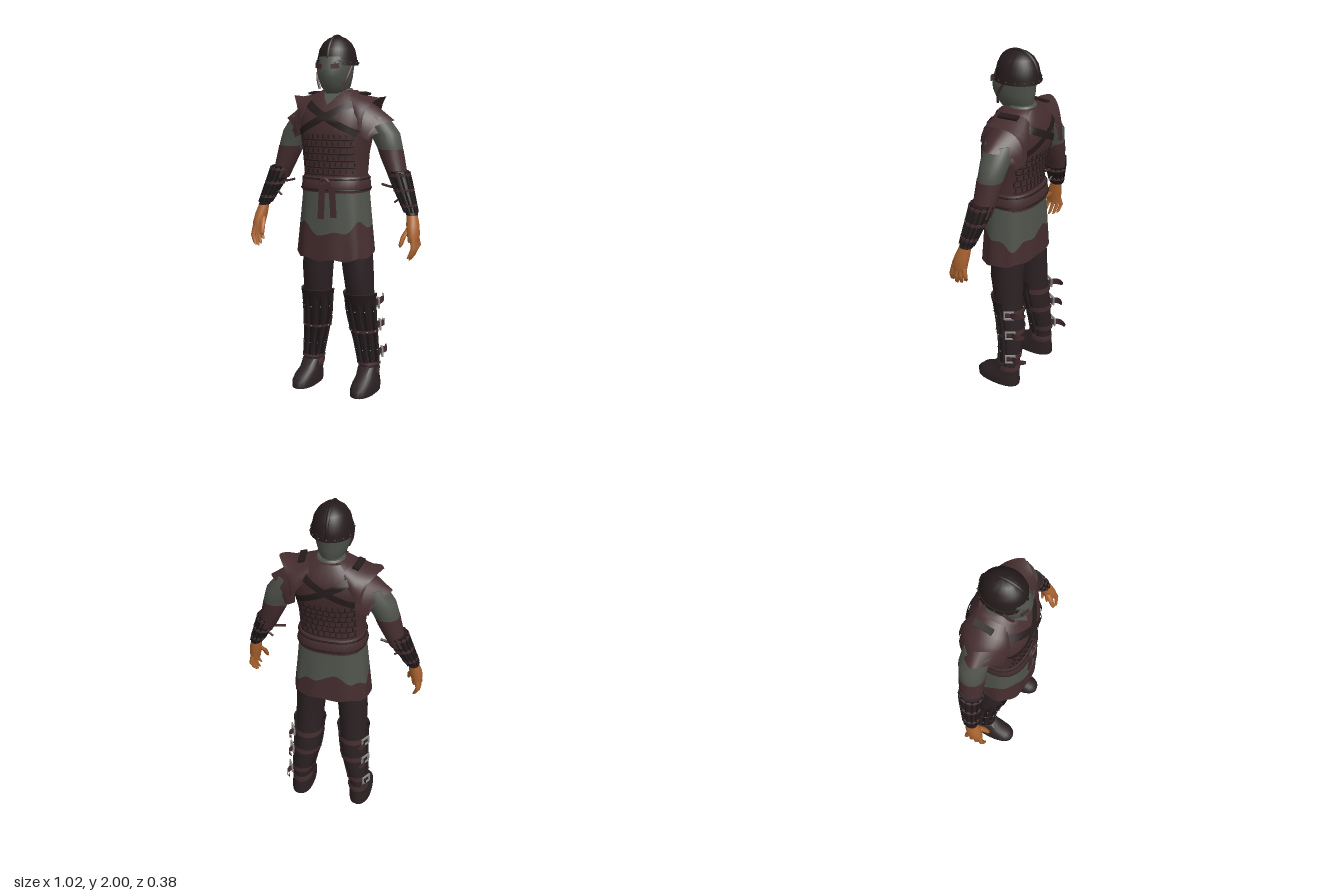
import * as THREE from 'three';
import { mergeGeometries, toCreasedNormals } from 'three/addons/utils/BufferGeometryUtils.js';

const paint = (name, color) => new THREE.MeshStandardMaterial({ name, color, side: THREE.DoubleSide });
const M = {
  leather: paint('red brown leather', 0x452d2f),
  trousers: paint('dark trousers', 0x2b2123),
  dark: paint('blackened leather', 0x251b1c),
  black: paint('near black lacing', 0x1b1718),
  cloth: paint('grey cloth', 0x50534c),
  skin: paint('skin', 0xac6430),
  metal: paint('buckle metal', 0x8c8c8e),
};
const V = (x, y, z) => new THREE.Vector3(x, y, z);
const spow = (v, p) => Math.sign(v) * Math.abs(v) ** p;

// Grid surface from f(i, j); closed joins the last column to the first
function grid(rows, cols, f, closed = false, caps = false) {
  const pos = [], idx = [], w = closed ? cols : cols + 1;
  for (let i = 0; i <= rows; i++) for (let j = 0; j < w; j++) pos.push(...f(i, j));
  for (let i = 0; i < rows; i++) for (let j = 0; j < cols; j++) {
    const a = i * w + j, b = i * w + (j + 1) % w;
    idx.push(a, b, b + w, a, b + w, a + w);
  }
  if (caps) for (const [row, flip] of [[0, true], [rows, false]]) {
    const c = pos.length / 3, mid = [0, 0, 0];
    for (let j = 0; j < w; j++) for (let k = 0; k < 3; k++) mid[k] += pos[(row * w + j) * 3 + k] / w;
    pos.push(...mid);
    for (let j = 0; j < w; j++) {
      const a = row * w + j, b = row * w + (j + 1) % w;
      idx.push(c, flip ? b : a, flip ? a : b);
    }
  }
  const g = new THREE.BufferGeometry();
  g.setAttribute('position', new THREE.Float32BufferAttribute(pos, 3));
  g.setIndex(idx);
  g.computeVertexNormals();
  return g;
}
// Closed body through horizontal rings [x, y, z, rx, rz], listed upwards
const loft = (rings, n = 24, p = 1) => toCreasedNormals(grid(rings.length - 1, n, (i, j) => {
  const [x, y, z, rx, rz] = rings[i], a = j / n * Math.PI * 2;
  return [x + rx * spow(Math.sin(a), p), y, z + rz * spow(Math.cos(a), p)];
}, true, true), 0.9);
// Ring values interpolated at height y
function ringAt(rings, y) {
  let i = 0;
  while (i < rings.length - 2 && y > rings[i + 1][1]) i++;
  const t = THREE.MathUtils.clamp((y - rings[i][1]) / (rings[i + 1][1] - rings[i][1]), 0, 1);
  return rings[i].map((v, k) => THREE.MathUtils.lerp(v, rings[i + 1][k], t));
}
const tube = (pts, r, seg = 10, n = 6) =>
  new THREE.TubeGeometry(new THREE.CatmullRomCurve3(pts), seg, r, n, false);
const around = (rings, y, a, off) => {
  const [x, , z, rx, rz] = ringAt(rings, y);
  return V(x + (rx + off) * Math.sin(a), y, z + (rz + off) * Math.cos(a));
};
const box = (w, h, d, x, y, z, ry = 0, rz = 0) =>
  new THREE.BoxGeometry(w, h, d).rotateZ(rz).rotateY(ry).translate(x, y, z);

const TORSO = [[0, 1.14, .02, .185, .145], [0, 1.25, .025, .178, .13], [0, 1.36, .025, .185, .145],
  [0, 1.46, .015, .2, .163], [0, 1.54, .008, .205, .168], [0, 1.6, -.005, .195, .152],
  [0, 1.66, -.015, .145, .118], [0, 1.7, -.025, .095, .085]];
const TP = .8;
// Depth of the torso surface, front (side 1) or back (side -1)
function torsoZ(x, y, side, off) {
  const [, , z, rx, rz] = ringAt(TORSO, y);
  const s = Math.min(.98, Math.abs(x) / rx) ** (1 / TP);
  return z + side * (rz * Math.sqrt(1 - s * s) ** TP + off);
}
// Flat strap lying on the torso between two points
function band(x0, y0, x1, y1, w0, w1, side, off) {
  const l = Math.hypot(x1 - x0, y1 - y0), nx = -(y1 - y0) / l, ny = (x1 - x0) / l;
  return grid(16, 4, (i, j) => {
    const t = i / 16, k = (j / 4 - .5) * (w0 + (w1 - w0) * t);
    const x = x0 + (x1 - x0) * t + nx * k, y = y0 + (y1 - y0) * t + ny * k;
    return [x, y, torsoZ(x, y, side, off)];
  });
}

export function createModel() {
  const root = new THREE.Group();
  root.name = 'armouredFigure';
  // One mesh per part; pieces are reduced to positions and normals so they merge
  const add = (name, mat, ...geos) => {
    const flat = geos.map(g => (g.index ? g.toNonIndexed() : g).deleteAttribute('uv'));
    const m = new THREE.Mesh(mergeGeometries(flat), mat);
    m.name = name;
    root.add(m);
  };

  // Head and helmet
  add('maskedHead', M.cloth, loft([[0, 1.6, -.03, .075, .075], [0, 1.68, -.02, .068, .068],
    [0, 1.685, .02, .05, .088], [0, 1.72, .027, .073, .108], [0, 1.77, .034, .088, .122],
    [0, 1.82, .034, .096, .124], [0, 1.88, .015, .097, .12]], 28));
  const HELM = [[0, 1.835, .01, .108, .126], [0, 1.87, .01, .105, .124], [0, 1.92, .01, .094, .112],
    [0, 1.955, .009, .074, .09], [0, 1.98, .008, .044, .058], [0, 1.99, .007, .012, .018]];
  add('helmet', M.dark, loft(HELM, 32));
  add('helmetBrim', M.dark, loft([[0, 1.834, .01, .114, .131], [0, 1.862, .01, .11, .128]], 32));
  const crest = [];
  for (let i = 0; i <= 14; i++) {
    const a = i / 14 * Math.PI;
    crest.push(V(0, 1.845 + .146 * Math.sin(a) ** .8, .009 + .122 * Math.cos(a)));
  }
  add('helmetCrest', M.dark, tube(crest, .009, 28));
  const rivets = [];
  for (let i = 0; i < 16; i++) {
    const p = around(HELM, 1.847, i / 16 * Math.PI * 2, .006);
    rivets.push(new THREE.SphereGeometry(.005, 6, 4).translate(p.x, p.y, p.z));
  }
  add('helmetRivets', M.leather, ...rivets);

  // Torso armour with laced scales
  add('cuirass', M.leather, loft(TORSO, 36, TP));
  add('neckCloth', M.cloth, loft([[0, 1.62, -.02, .1, .095], [0, 1.69, -.018, .085, .085], [0, 1.71, -.018, .07, .07]]),
    band(0, 1.69, 0, 1.61, .1, .01, 1, .004));
  const laces = [], seams = [];
  for (const side of [1, -1]) {
    for (let r = 0; r < 6; r++) {
      const y = 1.265 + r * .038;
      for (let c = -4.5; c <= 4.5; c++) {
        const x = (c + (r % 2) * .3) * .032;
        laces.push(box(.007, .022, .007, x, y, torsoZ(x, y, side, 0), side * x * 4));
      }
      seams.push(band(-.155, y - .019, .155, y - .019, .006, .006, side, .002));
    }
  }
  add('scaleLaces', M.dark, ...laces);
  add('scaleSeams', M.dark, ...seams);
  add('crossStraps', M.dark, ...[1, -1].flatMap(f => [
    band(.13, 1.63, -.175, 1.47, .04, .036, f, .006), band(-.13, 1.63, .175, 1.47, .04, .036, f, .01)]));
  add('collarEdges', M.leather, ...[1, -1].map(s => band(s * .07, 1.69, 0, 1.605, .024, .02, 1, .008)));

  // Belt, knot and hanging ends
  const BELT = [[0, 1.15, .022, .19, .15], [0, 1.17, .022, .193, .154], [0, 1.215, .022, .189, .148], [0, 1.235, .022, .182, .138]];
  add('belt', M.leather, loft(BELT, 36, TP));
  add('beltCords', M.dark, ...[1.165, 1.222].map(y => {
    const pts = [];
    for (let i = 0; i < 32; i++) {
      const a = i / 32 * Math.PI * 2, b = ringAt(BELT, y);
      pts.push(V(b[3] * spow(Math.sin(a), TP), y, b[2] + b[4] * spow(Math.cos(a), TP)));
    }
    return new THREE.TubeGeometry(new THREE.CatmullRomCurve3(pts, true), 64, .005, 5, true);
  }));
  add('beltKnot', M.leather, new THREE.TorusGeometry(.026, .01, 6, 14).translate(0, 1.2, .175),
    box(.05, .03, .022, .02, 1.19, .176, 0, .4));
  add('beltEnds', M.leather, box(.034, .19, .01, -.016, 1.1, .18, 0, -.05), box(.034, .17, .01, .05, 1.1, .176, 0, .06));

  // Tunic skirt: grey above, wavy red brown border below
  const skirt = (a, y) => {
    const t = (1.2 - y) / .42, f = 1 + .025 * t * Math.sin(9 * a + .6);
    return [(.183 + .041 * t) * f * spow(Math.sin(a), .85), y, .022 + (.142 + .018 * t) * f * spow(Math.cos(a), .85)];
  };
  const wave = a => .948 - .032 * Math.cos(3 * a - .3) + .016 * Math.sin(8 * a);
  const hem = a => .8 - .026 * Math.cos(a) + .006 * Math.sin(9 * a);
  const skirtPart = (lo, hi) => grid(6, 96, (i, j) => {
    const a = j / 96 * Math.PI * 2;
    return skirt(a, lo(a) + (hi(a) - lo(a)) * i / 6);
  }, true);
  add('tunicSkirt', M.cloth, skirtPart(wave, () => 1.2));
  add('tunicBorder', M.leather, skirtPart(hem, wave));

  for (const s of [1, -1]) {
    const side = s > 0 ? 'left' : 'right';
    const flip = rings => rings.map(([x, ...r]) => [x * s, ...r]);
    const P = (x, y, z) => V(s * x, y, z);

    // Cheek strap and eye patch
    add(side + 'CheekStrap', M.leather, tube([P(.101, 1.84, .03), P(.09, 1.77, .075), P(.068, 1.71, .092)], .007));
    add(side + 'EyePatch', M.leather, box(.046, .026, .008, s * .048, 1.83, .142, s * .45, s * .1));

    // Layered shoulder plates: arches [x, top, halfDepth, drop, pull], ends pulled inwards to a point
    const plate = rings => grid(rings.length - 1, 18, (i, j) => {
      const [x, y, rz, drop, pull] = rings[i], a = (j / 18 - .5) * Math.PI;
      return [s * (x - pull * Math.abs(Math.sin(a)) ** 1.3),
        y - drop * (1 - Math.abs(Math.cos(a)) ** .8), -.018 + rz * Math.sin(a)];
    });
    add(side + 'ShoulderPlates', M.leather,
      plate([[.08, 1.7, .1, .06, 0], [.17, 1.672, .138, .12, .02], [.23, 1.662, .138, .15, .05], [.28, 1.668, .128, .17, .09]]),
      plate([[.19, 1.635, .135, .16, .03], [.26, 1.59, .13, .14, .06], [.33, 1.54, .115, .1, .11]]),
      plate([[.2, 1.58, .12, .12, .03], [.27, 1.53, .115, .09, .05], [.318, 1.485, .1, .05, .09]]));
    add(side + 'ShoulderStrap', M.dark, box(.035, .012, .11, s * .15, 1.683, -.03, s * .12, s * -.25));

    // Arm: cloth sleeve, leather sleeve, splinted bracer
    add(side + 'Sleeve', M.cloth, loft(flip([[.315, 1.34, -.02, .06, .06], [.3, 1.4, -.022, .072, .07],
      [.27, 1.47, -.028, .083, .078], [.2, 1.56, -.02, .085, .085]])));
    add(side + 'LowerSleeve', M.leather, loft(flip([[.372, 1.2, -.005, .05, .058], [.345, 1.27, -.012, .056, .065],
      [.32, 1.34, -.018, .066, .07], [.306, 1.385, -.02, .07, .072]])));
    const ARM = flip([[.458, 1.04, .036, .031, .038], [.432, 1.1, .025, .038, .045], [.395, 1.18, .008, .05, .057], [.36, 1.27, -.005, .055, .064]]);
    add(side + 'Bracer', M.dark, loft(ARM));
    const rib = (rings, y0, y1, a, off) => [0, .33, .67, 1].map(t => around(rings, y0 + (y1 - y0) * t, a, off));
    const ribs = [], rings = [];
    for (let i = 0; i < 12; i++) ribs.push(tube(rib(ARM, 1.055, 1.265, i / 12 * Math.PI * 2, .002), .006, 8, 5));
    for (const y of [1.09, 1.17, 1.25]) {
      const [x, yy, z, rx, rz] = ringAt(ARM, y);
      rings.push(loft([[x, yy - .008, z, rx + .007, rz + .007], [x, yy + .008, z, rx + .007, rz + .007]]));
    }
    add(side + 'BracerSplints', M.black, ...ribs);
    add(side + 'BracerStraps', M.leather, ...rings,
      tube([P(.35, 1.18, .01), P(.31, 1.185, .012), P(.27, 1.195, .012)], .007),
      tube([P(.4, 1.12, .02), P(.37, 1.115, .022), P(.35, 1.1, .022)], .006));

    // Hand with curled fingers and thumb
    add(side + 'Hand', M.skin, loft(flip([[.478, .9, .068, .026, .043], [.477, .94, .064, .032, .046],
      [.468, .99, .052, .034, .041], [.457, 1.05, .036, .027, .031]]), 16, .9),
    ...[0, 1, 2, 3].map(k => {
      const z = .1 - k * .022, d = [0, -.012, -.004, .016][k], out = z + .016 - k * .008;
      return loft(flip([[.466, .815 + d, out + .008, .004, .005], [.476, .828 + d, out + .004, .0105, .01],
        [.493, .87 + d * .5, out - .004, .013, .012], [.484, .925, z, .015, .014]]), 8);
    }),
    loft(flip([[.423, .875, .122, .005, .006], [.426, .888, .12, .012, .012], [.434, .93, .1, .015, .014], [.455, .975, .062, .018, .02]]), 8));

    // Leg, boot and cuff
    const LEG = flip([[.18, .09, -.04, .053, .066], [.174, .2, -.052, .053, .058], [.152, .32, -.042, .068, .071],
      [.14, .42, -.032, .077, .079], [.134, .55, -.012, .078, .085], [.126, .7, .002, .085, .098], [.105, .92, .005, .095, .098]]);
    add(side + 'Leg', M.trousers, loft(LEG));
    add(side + 'Boot', M.trousers, loft(flip([[.184, 0, .026, .065, .138], [.184, .035, .026, .067, .139], [.183, .065, .012, .062, .122],
      [.18, .09, -.015, .057, .092], [.178, .14, -.038, .056, .07]]), 24, .85));
    add(side + 'BootCuff', M.leather, loft(flip([[.178, .1, -.035, .06, .075], [.176, .122, -.04, .062, .073], [.176, .14, -.043, .058, .067]])));

    // Shin guard: front shell, splints and cross bands
    const shell = grid(12, 20, (i, j) => {
      const t = i / 12, y = .13 + .44 * t, p = around(LEG, y, (j / 20 - .5) * 3.5, .004 + .014 * t ** 4);
      return [p.x, y, p.z];
    });
    add(side + 'ShinGuard', M.dark, shell);
    const splints = [[], []];
    for (let k = -5; k <= 5; k++) splints[Math.abs(k) % 2].push(tube(rib(LEG, .15, .56, k * .3, .007), .0075, 10, 5));
    add(side + 'ShinSplints', M.black, ...splints[0]);
    add(side + 'ShinRidges', M.trousers, ...splints[1]);
    const bandRing = (y, h, off, a0, a1) => grid(1, 20, (i, j) => {
      const p = around(LEG, y + (i - .5) * h, s * (a0 + (a1 - a0) * j / 20), off);
      return [p.x, p.y, p.z];
    });
    add(side + 'ShinBands', M.leather, ...[.16, .35, .565].map(y => bandRing(y, .016, .016, -1.6, 1.6)));
    const studs = [];
    for (const y of [.24, .35, .47]) for (let k = -2; k <= 2; k++) {
      const p = around(LEG, y, k * .6, .017);
      studs.push(new THREE.SphereGeometry(.004, 6, 4).translate(p.x, p.y, p.z));
    }
    add(side + 'ShinStuds', M.metal, ...studs);

    // Calf straps with outer buckles and loose flat ends
    const straps = [], buckles = [];
    for (const [y, end] of [[.5, -.172], [.37, -.168], [.21, -.188]]) {
      straps.push(bandRing(y, .034, .008, 1.4, 4.9));
      const turn = s * 2.1, p = around(LEG, y, turn, .02), up = y > .45 ? .025 : .006;
      for (const d of [-1, 1]) {
        buckles.push(box(.058, .009, .009, p.x, y + d * .023, p.z, turn), box(.009, .054, .009,
          p.x + d * .026 * Math.cos(turn), y, p.z - d * .026 * Math.sin(turn), turn));
      }
      straps.push(...[0, .008].map(d => grid(8, 1, (i, j) => {
        const t = i / 8;
        return [p.x - s * (.012 + d - .02 * Math.sin(t * Math.PI)), y + up * t + (j - .5) * .036 * (1 - .5 * t ** 4), p.z + (end - p.z) * t];
      })));
    }
    add(side + 'CalfStraps', M.leather, ...straps);
    add(side + 'CalfBuckles', M.metal, ...buckles);
  }
  return root;
}
